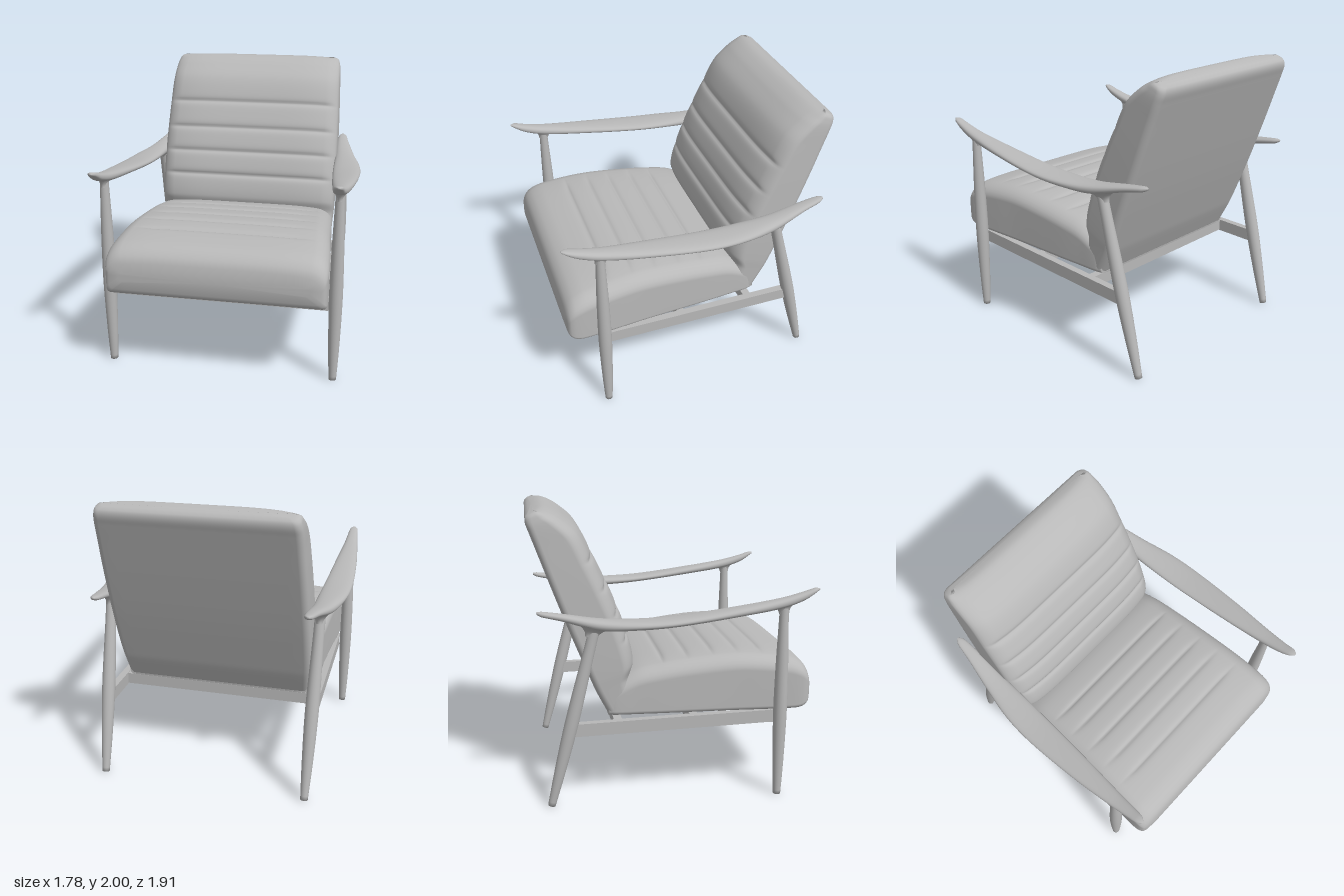
import * as THREE from 'three';

// Smooth interpolation through rows of [t, a, b, ...] sorted by t
function at(keys, t) {
  let i = 0;
  while (i < keys.length - 2 && t > keys[i + 1][0]) i++;
  const p = keys[i], q = keys[i + 1], h = q[0] - p[0];
  const u = Math.min(1, Math.max(0, (t - p[0]) / h));
  const slope = (k, c) => {
    const a = keys[Math.max(0, k - 1)], b = keys[Math.min(keys.length - 1, k + 1)];
    return (b[c] - a[c]) / (b[0] - a[0]);
  };
  return p.slice(1).map((_, j) => {
    const c = j + 1, u2 = u * u, u3 = u2 * u;
    return (2 * u3 - 3 * u2 + 1) * p[c] + (u3 - 2 * u2 + u) * h * slope(i, c)
      + (3 * u2 - 2 * u3) * q[c] + (u3 - u2) * h * slope(i + 1, c);
  });
}

// Skin closed rings (counter-clockwise seen from the last ring) and cap both ends
function loft(rings) {
  const n = rings[0].length, pos = [], idx = [];
  rings.forEach(r => r.forEach(p => pos.push(...p)));
  for (let i = 0; i < rings.length - 1; i++) for (let j = 0; j < n; j++) {
    const a = i * n + j, b = i * n + (j + 1) % n;
    idx.push(a, b, a + n, b, b + n, a + n);
  }
  const cap = (start, flip) => {
    const c = pos.length / 3, m = [0, 0, 0];
    for (let j = 0; j < n; j++) for (let k = 0; k < 3; k++) m[k] += pos[(start + j) * 3 + k] / n;
    pos.push(...m);
    for (let j = 0; j < n; j++) {
      const a = start + j, b = start + (j + 1) % n;
      flip ? idx.push(c, b, a) : idx.push(c, a, b);
    }
  };
  cap(0, true);
  cap((rings.length - 1) * n, false);
  const g = new THREE.BufferGeometry();
  g.setAttribute('position', new THREE.Float32BufferAttribute(pos, 3));
  g.setIndex(idx);
  g.computeVertexNormals();
  return g;
}

// Rounded cushion section: half width w, from v0 to v1, corner radii r0 and r1
function section(w, v0, v1, r0, r1) {
  const pts = [], half = (v1 - v0) / 2;
  r0 = Math.min(r0, half); r1 = Math.min(r1, half);
  const arc = (cx, cy, r, a0) => {
    for (let k = 0; k <= 6; k++) {
      const a = a0 + k / 6 * Math.PI / 2;
      pts.push([cx + r * Math.cos(a), cy + r * Math.sin(a)]);
    }
  };
  const edge = (x0, x1, v) => {
    for (let k = 1; k < 18; k++) pts.push([x0 + (x1 - x0) * k / 18, v]);
  };
  arc(w - r0, v0 + r0, r0, -Math.PI / 2);
  arc(w - r1, v1 - r1, r1, 0);
  edge(w - r1, r1 - w, v1);
  arc(r1 - w, v1 - r1, r1, Math.PI / 2);
  arc(r0 - w, v0 + r0, r0, Math.PI);
  edge(r0 - w, w - r0, v0);
  return pts;
}

// Channelled cushion; place(x, v, t) maps section coordinates to space
function cushion({ keys, from, to, r0, r1, grooves, depth, reach, crown, place }) {
  const rings = [], N = 130;
  for (let i = 0; i <= N; i++) {
    const t = from + (to - from) * i / N;
    const [w, v0, v1] = at(keys, t);
    let dent = 0;
    for (const g of grooves) dent += depth * Math.exp(-Math.abs(t - g) / 0.016);
    rings.push(section(w, v0, v1, r0, r1).map(([x, v]) => {
      const top = Math.pow(Math.max(0, (v - v0) / (v1 - v0)), 4);
      const mask = 1 - THREE.MathUtils.smoothstep(Math.abs(x), reach - 0.14, reach);
      return place(x, v - top * (dent * mask + crown * Math.pow(Math.abs(x) / w, 5)), t);
    }));
  }
  return loft(rings);
}

export function createModel() {
  const group = new THREE.Group();
  const grey = new THREE.MeshStandardMaterial({ color: 0xb8b8b8 });
  grey.name = 'plain grey';
  const add = (name, geometry) => {
    const m = new THREE.Mesh(geometry, grey);
    m.name = name;
    group.add(m);
    return m;
  };

  // Seat cushion: rows of z, half width, bottom, top
  add('seatCushion', cushion({
    keys: [
      [-0.45, 0.66, 0.603, 0.8], [-0.4, 0.675, 0.603, 0.84], [-0.25, 0.685, 0.603, 0.92],
      [-0.1, 0.695, 0.603, 0.955], [0.1, 0.705, 0.603, 0.985], [0.4, 0.72, 0.603, 1.012],
      [0.6, 0.735, 0.603, 1.005], [0.8, 0.747, 0.603, 0.978], [0.88, 0.747, 0.608, 0.948],
      [0.925, 0.737, 0.628, 0.91], [0.948, 0.712, 0.66, 0.868], [0.96, 0.64, 0.72, 0.81]],
    from: -0.45, to: 0.96, r0: 0.03, r1: 0.11,
    grooves: [-0.06, 0.11, 0.285, 0.455, 0.625], depth: 0.017, reach: 0.61, crown: 0.035,
    place: (x, v, z) => [x, v, z],
  }));

  // Back cushion: rows of distance up the slope, half width, rear, front
  const slope = Math.atan2(0.35, 0.936), cs = Math.cos(slope), sn = Math.sin(slope);
  add('backCushion', cushion({
    keys: [
      [-0.005, 0.67, 0.012, 0.25], [0.17, 0.68, -0.006, 0.265], [0.25, 0.685, -0.009, 0.318],
      [0.4, 0.688, -0.012, 0.342], [0.6, 0.688, -0.015, 0.348], [0.8, 0.685, -0.015, 0.34],
      [1.01, 0.68, -0.013, 0.322], [1.2, 0.673, -0.01, 0.3], [1.33, 0.668, -0.008, 0.232],
      [1.39, 0.66, -0.006, 0.182], [1.425, 0.645, 0.01, 0.14], [1.438, 0.61, 0.035, 0.11]],
    from: 1.438, to: -0.005, r0: 0.045, r1: 0.1,
    grooves: [0.425, 0.61, 0.8, 1.01], depth: 0.024, reach: 0.7, crown: 0.055,
    place: (x, v, s) => [x, 0.61 + s * cs + v * sn, -0.46 - s * sn + v * cs],
  }));

  // Armrest: rows of z, inner x, outer x, bottom, top
  const armKeys = [
    [-0.905, 0.7, 0.72, 1.336, 1.352], [-0.88, 0.682, 0.738, 1.322, 1.354],
    [-0.75, 0.675, 0.765, 1.292, 1.337], [-0.5, 0.677, 0.825, 1.228, 1.302],
    [-0.25, 0.682, 0.875, 1.232, 1.293], [0, 0.692, 0.89, 1.25, 1.304],
    [0.4, 0.715, 0.873, 1.296, 1.355], [0.7, 0.738, 0.845, 1.338, 1.403],
    [0.85, 0.75, 0.828, 1.385, 1.44], [0.93, 0.763, 0.817, 1.435, 1.464],
    [0.955, 0.782, 0.798, 1.45, 1.462]];
  const soft = v => Math.sign(v) * Math.pow(Math.abs(v), 0.85);
  const arm = side => {
    const rings = [];
    for (let i = 0; i <= 70; i++) {
      const z = -0.905 + 1.86 * i / 70;
      const [xi, xo, y0, y1] = at(armKeys, z);
      const ring = [];
      for (let k = 0; k < 24; k++) {
        const a = k / 24 * Math.PI * 2;
        ring.push([side * (xi + xo) / 2 + (xo - xi) / 2 * soft(Math.cos(a)),
          (y0 + y1) / 2 + (y1 - y0) / 2 * soft(Math.sin(a)), z]);
      }
      rings.push(ring);
    }
    return loft(rings);
  };

  // Turned leg between two points; profile rows are radius, fraction of length
  const turned = (name, foot, head, rows) => {
    const a = new THREE.Vector3(...foot), d = new THREE.Vector3(...head).sub(a), L = d.length();
    const curve = new THREE.SplineCurve(rows.map(([r, f]) => new THREE.Vector2(r, f * L)));
    const pts = [new THREE.Vector2(0, 0), ...curve.getPoints(28)];
    const m = add(name, new THREE.LatheGeometry(pts, 20));
    m.position.copy(a);
    m.quaternion.setFromUnitVectors(new THREE.Vector3(0, 1, 0), d.normalize());
  };

  // Flared joint under the armrest, leaning forward by tilt
  const hub = (name, x, y, z, h, r0, r1, tilt) => {
    const pts = [];
    for (let k = 0; k <= 8; k++) pts.push(new THREE.Vector2(r0 + (r1 - r0) * (k / 8) ** 2.2, h * k / 8));
    const m = add(name, new THREE.LatheGeometry(pts, 20));
    m.position.set(x, y, z);
    m.rotation.x = tilt;
    m.scale.x = 0.6;
  };

  for (const side of [1, -1]) {
    const s = side > 0 ? 'left' : 'right';
    add(s + 'Armrest', arm(side));
    turned(s + 'FrontLeg', [side * 0.79, 0, 0.715], [side * 0.79, 1.36, 0.715],
      [[0.026, 0], [0.036, 0.15], [0.044, 0.35], [0.046, 0.5], [0.041, 0.72], [0.031, 0.95], [0.031, 1]]);
    turned(s + 'RearLeg', [side * 0.721, 0.006, -0.853], [side * 0.738, 1.25, -0.535],
      [[0.026, 0], [0.038, 0.2], [0.046, 0.42], [0.045, 0.6], [0.038, 0.85], [0.036, 1]]);
    hub(s + 'FrontJoint', side * 0.79, 1.3, 0.715, 0.068, 0.036, 0.085, -0.1);
    hub(s + 'RearJoint', side * 0.738, 1.18, -0.56, 0.078, 0.042, 0.12, 0.22);

    // Side rail, sloping gently down to the back
    const rail = add(s + 'SideRail', new THREE.BoxGeometry(0.05, 0.088, 1.4));
    rail.position.set(side * 0.72, 0.552, -0.01);
    rail.rotation.x = -0.015;
  }

  // Cross rails under the seat, flush with the side rails
  for (const [name, y, z, w, h, d] of [
    ['frontRail', 0.561, 0.69, 1.485, 0.092, 0.045],
    ['middleSlat', 0.555, 0.13, 1.43, 0.08, 0.055],
    ['rearSlat', 0.546, -0.39, 1.43, 0.08, 0.055]]) {
    add(name, new THREE.BoxGeometry(w, h, d)).position.set(0, y, z);
  }
  return group;
}
